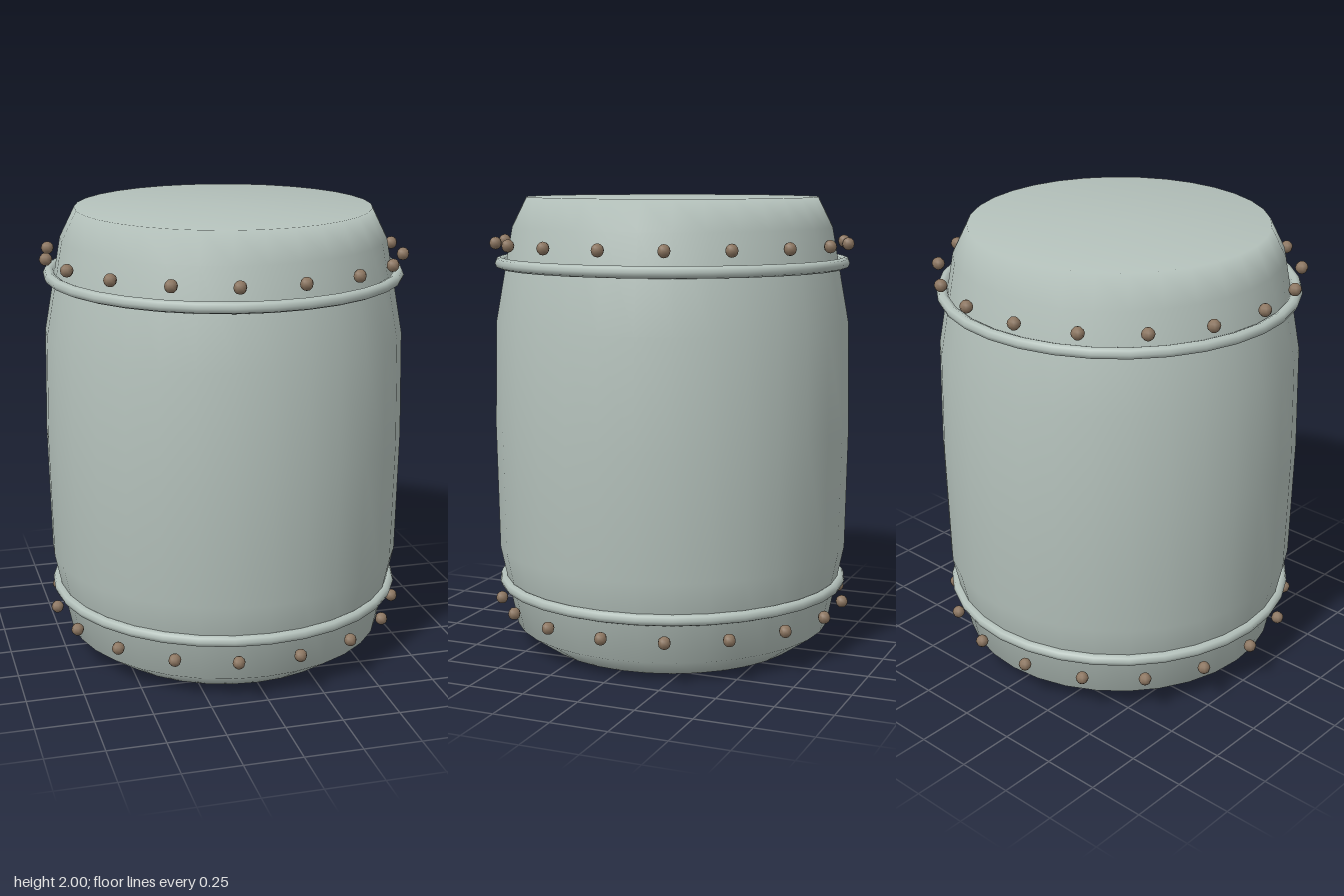
import * as THREE from 'three';

const metal = new THREE.MeshStandardMaterial({ color: 0xb4c1bb });
const bronze = new THREE.MeshStandardMaterial({ color: 0x8b7560 });

export function createModel() {
  const model = new THREE.Group();
  model.name = 'barrel';

  // Closed body, smooth-shaded right across the lid and base
  const profile = [
    [0, 0], [0.58, 0], [0.71, 0.09], [0.785, 0.45], [0.795, 1],
    [0.785, 1.46], [0.71, 1.87], [0.645, 2], [0, 2],
  ].map(([r, y]) => new THREE.Vector2(r, y));
  const body = new THREE.Mesh(new THREE.LatheGeometry(profile, 32), metal);
  body.name = 'body';
  model.add(body);

  const hoopGeometry = new THREE.TorusGeometry(0.762, 0.025, 8, 32).rotateX(Math.PI / 2);
  const rivetGeometry = new THREE.SphereGeometry(0.028, 8, 6);
  const rivetCount = 18;

  for (const [end, hoopY, rivetY] of [['lower', 0.29, 0.2], ['upper', 1.715, 1.8]]) {
    // Hoop around the body
    const hoop = new THREE.Mesh(hoopGeometry, metal);
    hoop.name = `${end}Hoop`;
    hoop.position.y = hoopY;
    model.add(hoop);

    // Ring of rivets beyond the hoop
    const rivets = new THREE.Group();
    rivets.name = `${end}Rivets`;
    for (let i = 0; i < rivetCount; i++) {
      const a = (i / rivetCount) * Math.PI * 2;
      const rivet = new THREE.Mesh(rivetGeometry, bronze);
      rivet.name = 'rivet';
      rivet.position.set(Math.cos(a) * 0.78, rivetY, Math.sin(a) * 0.78);
      rivets.add(rivet);
    }
    model.add(rivets);
  }
  return model;
}
